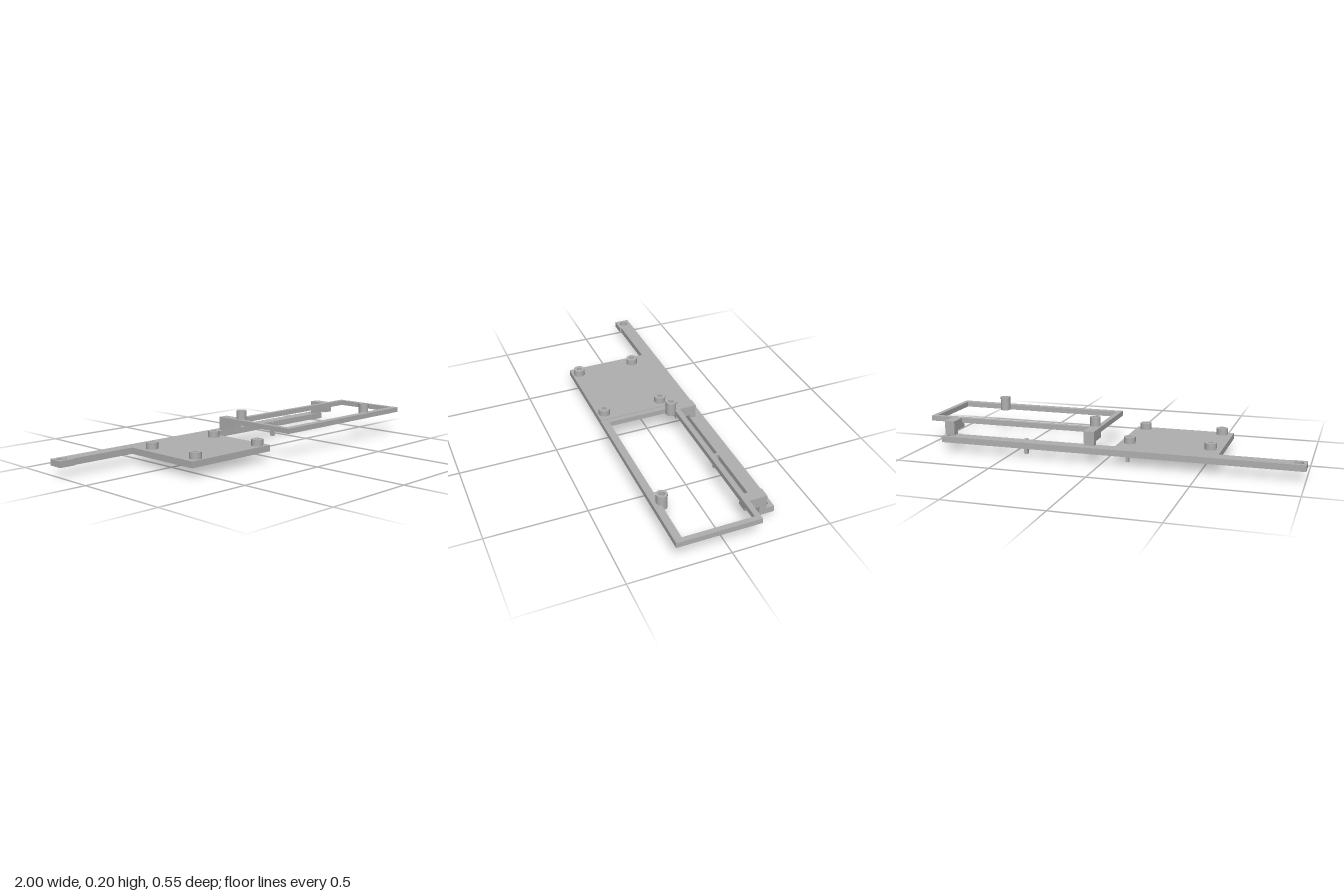
import * as THREE from 'three';

const BOARD_Y = 0.047, BOARD_TOP = 0.079, FRAME_Y = 0.125, FRAME_TOP = 0.152;

export function createModel() {
  const model = new THREE.Group();
  model.name = 'mountingBracket';
  const grey = new THREE.MeshStandardMaterial({ color: 0xb0b0b0 });
  grey.name = 'grey plastic';

  function add(geometry, name) {
    const mesh = new THREE.Mesh(geometry, grey);
    mesh.name = name;
    model.add(mesh);
    return mesh;
  }

  // Extrude an outline drawn in x and z between two heights
  function slab(shape, y0, y1, name) {
    const g = new THREE.ExtrudeGeometry(shape, { depth: y1 - y0, bevelEnabled: false, curveSegments: 24 });
    g.rotateX(Math.PI / 2).translate(0, y1, 0);
    return add(g, name);
  }

  function box(x0, x1, y0, y1, z0, z1, name) {
    add(new THREE.BoxGeometry(x1 - x0, y1 - y0, z1 - z0), name)
      .position.set((x0 + x1) / 2, (y0 + y1) / 2, (z0 + z1) / 2);
  }

  const outline = (points) => new THREE.Shape(points.map(([x, z]) => new THREE.Vector2(x, z)));
  const circle = (x, z, r) => new THREE.Path().absarc(x, z, r, 0, Math.PI * 2, true);

  // Hollow round post, smooth on the wall and sharp at the rims
  function standoff(x, z, y0, y1, outer, inner, name) {
    const profile = [[inner, y0], [outer, y0], [outer, y1], [inner, y1], [inner, y0]];
    for (let i = 0; i < 4; i++) {
      const pair = profile.slice(i, i + 2).map(([r, y]) => new THREE.Vector2(r, y));
      add(new THREE.LatheGeometry(pair, 32), name).position.set(x, 0, z);
    }
  }

  // Rail with end pads and a square plate, in one piece
  const board = outline([
    [-1, -0.273], [0.873, -0.273], [0.873, -0.195], [0.8, -0.195], [0.8, -0.203],
    [-0.053, -0.203], [-0.053, 0.238], [-0.578, 0.238], [-0.578, -0.203],
    [-0.92, -0.203], [-0.92, -0.195], [-1, -0.195],
  ]);
  for (const x of [-0.963, 0.833]) board.holes.push(circle(x, -0.235, 0.022));
  for (const x of [-0.521, -0.106]) {
    for (const z of [-0.116, 0.199]) {
      board.holes.push(circle(x, z, 0.013));
      standoff(x, z, BOARD_TOP, 0.112, 0.03, 0.013, 'plateStandoff');
    }
  }
  slab(board, BOARD_Y, BOARD_TOP, 'railAndPlate');

  // Raised rectangular frame, its opening notched around the two posts
  const frame = outline([[0.047, -0.142], [0.998, -0.142], [0.998, 0.272], [0.047, 0.272]]);
  const opening = new THREE.Path();
  const notch = 0.02;
  opening.moveTo(0.972, 0.235);
  opening.lineTo(0.972, -0.115);
  opening.absarc(0.083, -0.1, notch, Math.atan2(-0.015, 0.0132), Math.atan2(0.0173, -0.01), true);
  opening.lineTo(0.073, 0.235);
  opening.absarc(0.73, 0.226, notch, Math.atan2(0.009, -0.0179), Math.atan2(0.009, 0.0179), true);
  opening.closePath();
  frame.holes.push(opening);
  slab(frame, FRAME_Y, FRAME_TOP, 'upperFrame');
  standoff(0.083, -0.099, FRAME_Y, 0.199, 0.027, 0.014, 'frameStandoff');
  standoff(0.73, 0.226, FRAME_Y, 0.199, 0.027, 0.014, 'frameStandoff');

  // Stepped arms joining the rail to the frame
  for (const x of [0.047, 0.818]) {
    const x1 = x + 0.054;
    box(x, x1, BOARD_TOP, 0.097, -0.232, -0.197, 'armLeg');
    box(x, x1, 0.097, FRAME_TOP, -0.232, -0.142, 'armBlock');
    box(x, x1, 0.097, FRAME_Y, -0.142, -0.12, 'armLip');
  }

  // Locating pins below the rail's front edge
  box(-0.124, -0.107, 0, BOARD_Y, -0.198, -0.18, 'locatingPin');
  box(0.421, 0.438, 0, BOARD_TOP, -0.203, -0.18, 'locatingPin');

  return model;
}
